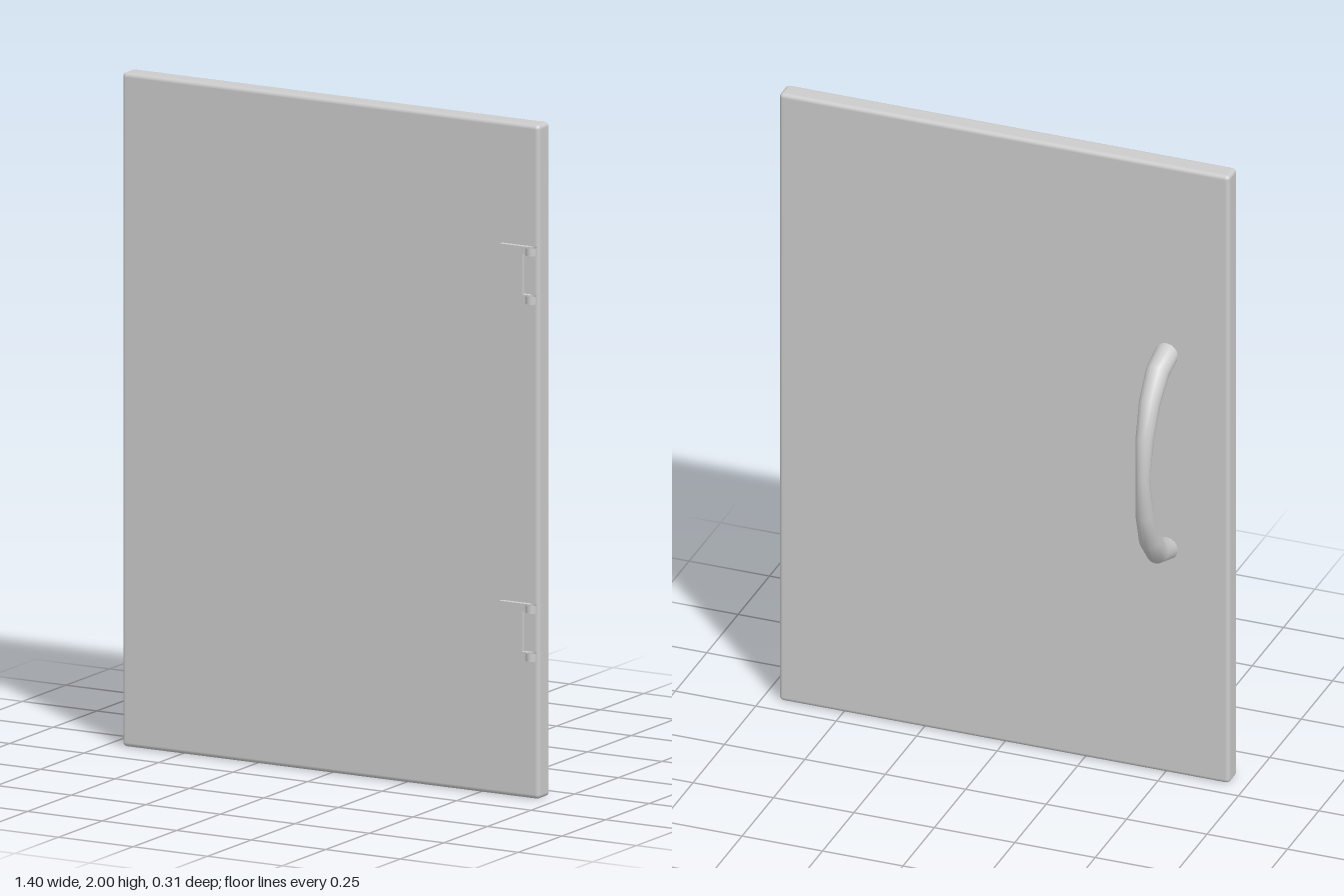
import * as THREE from 'three';
import { mergeVertices } from 'three/addons/utils/BufferGeometryUtils.js';
import { RoundedBoxGeometry } from 'three/addons/geometries/RoundedBoxGeometry.js';

const grey = new THREE.MeshStandardMaterial({ color: 0xcccccc });
const greyThin = new THREE.MeshStandardMaterial({ color: 0xcccccc, side: THREE.DoubleSide });

function add(parent, name, geometry, x, y, z, material = grey) {
  const mesh = new THREE.Mesh(geometry, material);
  mesh.name = name;
  mesh.position.set(x, y, z);
  parent.add(mesh);
  return mesh;
}

// Half-elliptical bar that thickens towards both ends
function handleGeometry() {
  const rise = 0.32, depth = 0.19;
  let geo = new THREE.CylinderGeometry(1, 1, 1, 16, 8, true);
  const p = geo.attributes.position;
  for (let i = 0; i < p.count; i++) {
    const a = p.getY(i) * Math.PI;
    const s = Math.sin(a), c = Math.cos(a);
    const r = 0.021 + 0.015 * Math.abs(s);
    const n = new THREE.Vector2(s / rise, -c / depth).normalize();
    const out = -p.getZ(i) * r;
    p.setXYZ(i, p.getX(i) * r, rise * s + n.x * out, -depth * c + n.y * out);
  }
  geo.deleteAttribute('uv');
  geo.deleteAttribute('normal');
  geo = mergeVertices(geo, 1e-5);
  geo.computeVertexNormals();
  return geo;
}

// Hinge leaf with a notch between two hollow knuckles
function createHinge(y) {
  const hinge = new THREE.Group();
  hinge.name = 'hinge';
  const h = 0.083, notch = 0.06, edge = 0.677;
  const outline = [
    [0.577, -h], [edge, -h], [edge, -notch], [0.652, -notch],
    [0.652, notch], [edge, notch], [edge, h], [0.577, h],
  ].map(([px, py]) => new THREE.Vector2(px, py));
  const leaf = new THREE.ExtrudeGeometry(new THREE.Shape(outline), { depth: 0.016, bevelEnabled: false });
  add(hinge, 'hingeLeaf', leaf, 0, 0, 0.119);
  for (const side of [-1, 1]) {
    const knuckle = new THREE.CylinderGeometry(0.016, 0.016, h - notch, 20, 1, true);
    add(hinge, 'hingeKnuckle', knuckle, 0.685, side * (h + notch) / 2, 0.138, greyThin);
  }
  hinge.position.y = y;
  return hinge;
}

export function createModel() {
  const door = new THREE.Group();
  door.name = 'cabinetDoor';
  add(door, 'panel', new RoundedBoxGeometry(1.4, 2, 0.066, 3, 0.013), 0, 1, 0.087);
  add(door, 'handle', handleGeometry(), -0.505, 1.06, 0.056);
  for (const y of [0.497, 1.557]) door.add(createHinge(y));
  return door;
}
